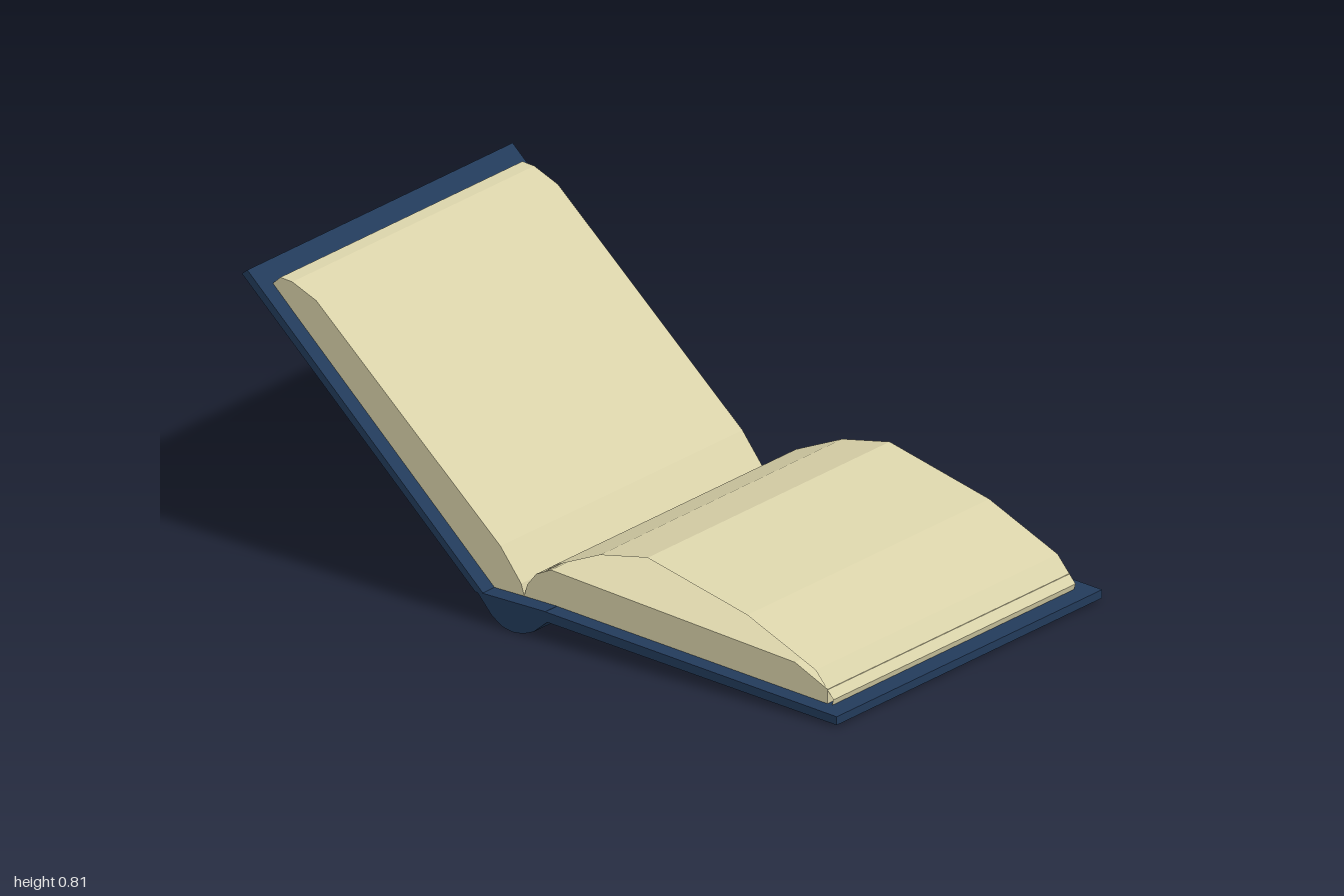
import * as THREE from 'three';

const navy = new THREE.MeshStandardMaterial({ color: 0x223a5a, flatShading: true });
navy.name = 'navy cover';
const cream = new THREE.MeshStandardMaterial({ color: 0xd8d1a8, flatShading: true, side: THREE.DoubleSide });
cream.name = 'cream paper';

// Solid with an x/y outline, running along z and centred on z = 0
function prism(name, outline, depth, material) {
  const shape = new THREE.Shape(outline.map(([x, y]) => new THREE.Vector2(x, y)));
  const geometry = new THREE.ExtrudeGeometry(shape, { depth, bevelEnabled: false });
  geometry.translate(0, 0, -depth / 2);
  const mesh = new THREE.Mesh(geometry, material);
  mesh.name = name;
  return mesh;
}

// Open sheet following an x/y line along z
function sheet(name, line, depth, material) {
  const geometry = new THREE.PlaneGeometry(1, depth, line.length - 1, 1);
  const pos = geometry.attributes.position;
  for (let i = 0; i < pos.count; i++) {
    const [x, y] = line[i % line.length];
    pos.setXYZ(i, x, y, -pos.getY(i));
  }
  geometry.computeVertexNormals();
  const mesh = new THREE.Mesh(geometry, material);
  mesh.name = name;
  return mesh;
}

export function createModel() {
  const book = new THREE.Group();
  book.name = 'openBook';
  const coverDepth = 1.14, pageDepth = 1.04;

  // Hard covers and rounded spine
  book.add(prism('raisedCover',
    [[-1, 0.797], [-0.215, 0.083], [-0.19, 0.087], [-0.982, 0.812]], coverDepth, navy));
  book.add(prism('flatCover',
    [[0.01, 0.058], [1, 0.006], [1, 0.03], [0.01, 0.086]], coverDepth, navy));
  book.add(prism('spine',
    [[-0.21, 0.086], [-0.16, 0.03], [-0.125, 0.007], [-0.09, 0], [-0.055, 0.004],
      [-0.02, 0.018], [0.03, 0.06], [0.02, 0.086]], coverDepth, navy));

  // Page blocks either side of the gutter
  book.add(prism('raisedPages',
    [[-0.2, 0.087], [-0.09, 0.087], [-0.1, 0.12], [-0.17, 0.21], [-0.79, 0.757],
      [-0.87, 0.79], [-0.91, 0.793], [-0.935, 0.77]], pageDepth, cream));
  book.add(prism('flatPages',
    [[-0.09, 0.087], [0, 0.086], [0.93, 0.034], [0.93, 0.075], [0.82, 0.125],
      [0, 0.184], [-0.05, 0.16], [-0.08, 0.122]], pageDepth, cream));

  // Loose page arching above the flat block
  book.add(sheet('archedPage',
    [[-0.09, 0.09], [-0.075, 0.13], [0.01, 0.2], [0.165, 0.268], [0.325, 0.3],
      [0.66, 0.22], [0.89, 0.12], [0.95, 0.05], [0.945, 0.033]], pageDepth, cream));

  return book;
}
